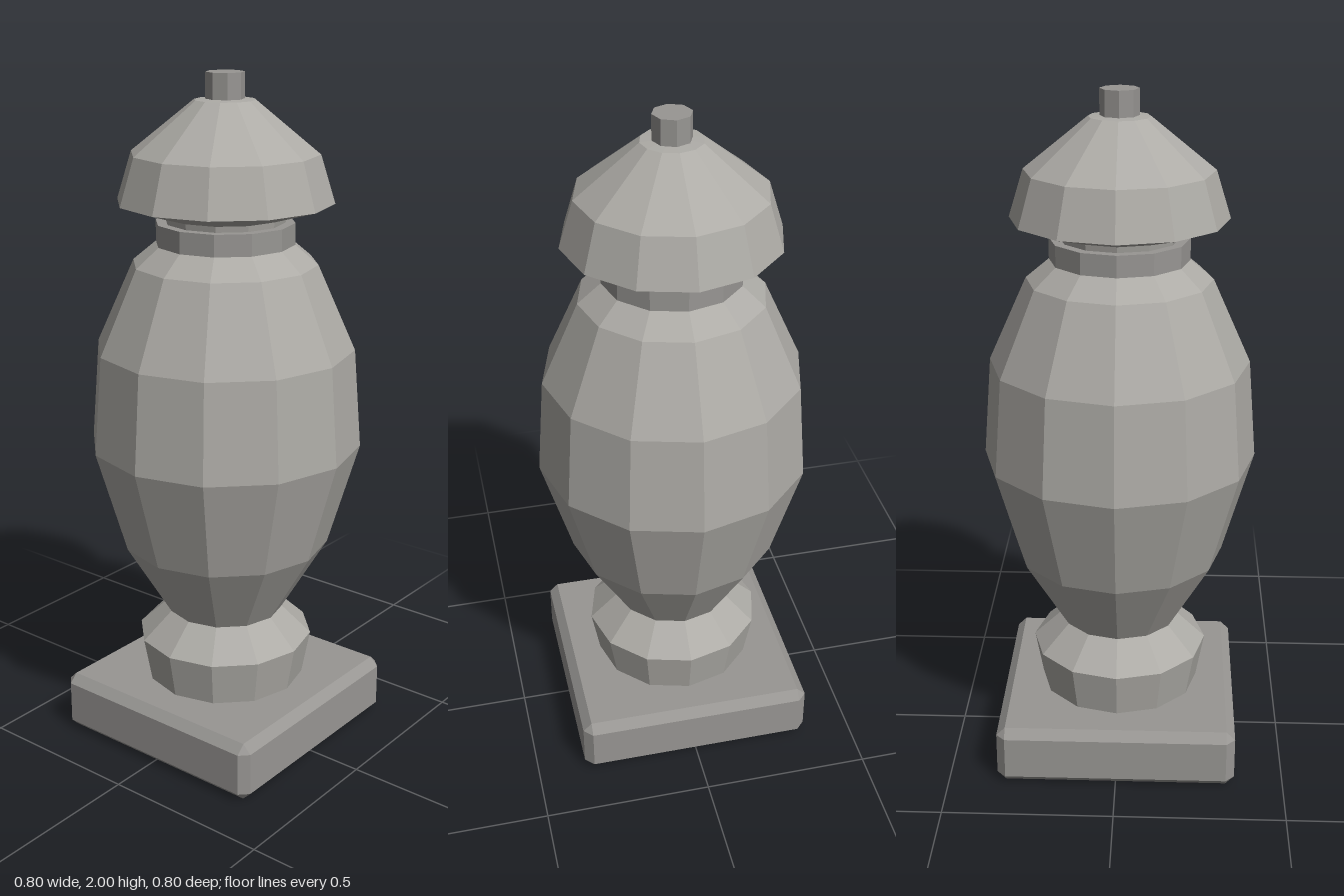
import * as THREE from 'three';
import { ConvexGeometry } from 'three/addons/geometries/ConvexGeometry.js';

// Faceted solid of revolution; profile is [radius, height] from bottom to top
function turned(profile, sides) {
  const points = profile.map(([r, y]) => new THREE.Vector2(r, y));
  const geometry = new THREE.LatheGeometry(points, sides).toNonIndexed();
  geometry.computeVertexNormals();
  return geometry;
}

// Square slab with every edge and corner chamfered
function chamferedSlab(half, height, bevel) {
  const points = [];
  const h = height / 2;
  for (const x of [-1, 1]) for (const y of [-1, 1]) for (const z of [-1, 1]) {
    for (const cut of [[0, 1, 1], [1, 0, 1], [1, 1, 0]]) {
      points.push(new THREE.Vector3(
        x * (half - cut[0] * bevel),
        h + y * (h - cut[1] * bevel),
        z * (half - cut[2] * bevel)));
    }
  }
  return new ConvexGeometry(points);
}

export function createModel() {
  const model = new THREE.Group();
  model.name = 'urn';

  const stone = new THREE.MeshStandardMaterial({ color: 0xadaba6, flatShading: true });
  stone.name = 'light stone';
  const trim = new THREE.MeshStandardMaterial({ color: 0x989693, flatShading: true });
  trim.name = 'dark stone';

  const add = (name, geometry, material) => {
    const mesh = new THREE.Mesh(geometry, material);
    mesh.name = name;
    model.add(mesh);
  };

  // Square plinth
  add('plinth', chamferedSlab(0.355, 0.18, 0.026), trim);

  // Flared foot under the body
  add('foot', turned([[0, 0.178], [0.24, 0.178], [0.265, 0.315], [0.175, 0.4], [0, 0.4]], 12), stone);

  // Swelling body
  add('body', turned([
    [0, 0.398], [0.175, 0.398], [0.31, 0.625], [0.4, 0.935],
    [0.377, 1.225], [0.267, 1.47], [0.195, 1.53], [0, 1.53],
  ], 12), stone);

  // Collar between body and lid
  add('collar', turned([[0, 1.525], [0.2, 1.525], [0.2, 1.588], [0, 1.588]], 12), trim);

  // Domed lid with overhanging rim
  add('lid', turned([
    [0, 1.58], [0.17, 1.58], [0.175, 1.605], [0.31, 1.645],
    [0.268, 1.78], [0.087, 1.925], [0, 1.932],
  ], 12), stone);

  // Knob on the lid
  add('knob', turned([[0, 1.92], [0.055, 1.92], [0.055, 2], [0, 2]], 8), trim);

  return model;
}
